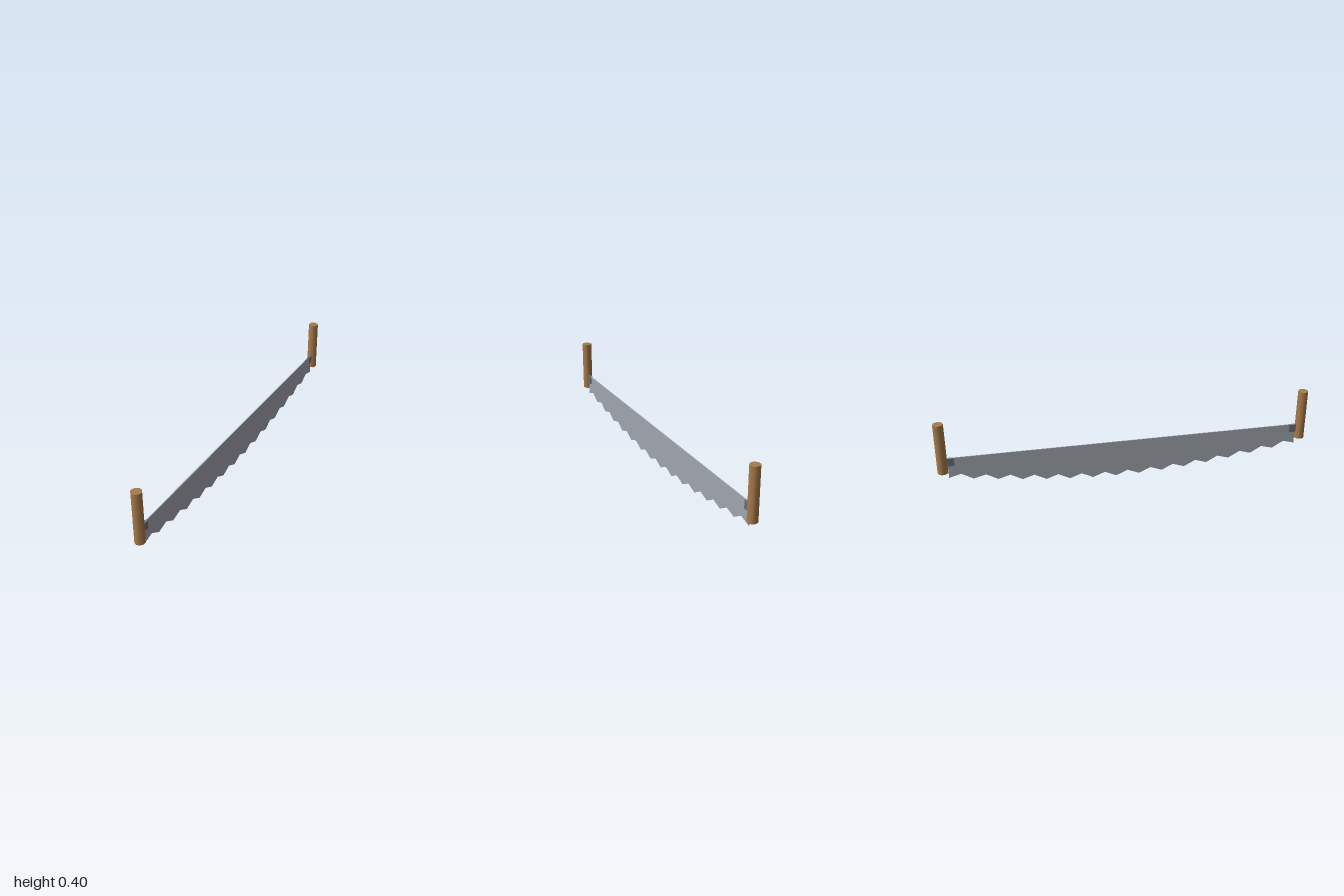
import * as THREE from 'three';

const material = (name, color) => {
  const m = new THREE.MeshStandardMaterial({ color });
  m.name = name;
  return m;
};

export function createModel() {
  const saw = new THREE.Group();
  saw.name = 'twoManSaw';
  const wood = material('wood', 0xa87b4a);
  const steel = material('steel', 0xa0a5ae);
  const darkSteel = material('darkSteel', 0x686d78);

  const add = (name, geometry, mat, x = 0, y = 0, z = 0) => {
    const mesh = new THREE.Mesh(geometry, mat);
    mesh.name = name;
    mesh.position.set(x, y, z);
    saw.add(mesh);
  };

  // Blade: straight back, bowed lower edge with alternating tips and valleys
  const half = 0.945, top = 0.205, steps = 15, thickness = 0.005;
  const outline = new THREE.Shape();
  outline.moveTo(-half, top);
  for (let i = -steps; i <= steps; i++) {
    const t = i / steps;
    const bow = 0.09 * (1 - Math.cos(t * Math.PI / 2));
    outline.lineTo(t * half, bow + (i % 2 === 0 ? 0.027 : 0));
  }
  outline.lineTo(half, top);
  outline.closePath();
  const blade = new THREE.ExtrudeGeometry(outline, { depth: thickness, bevelEnabled: false });
  blade.translate(0, 0, -thickness / 2);
  blade.rotateY(-Math.PI / 2);
  add('blade', blade, steel);

  // Upright handle and its bracket at each end
  for (const [end, s] of [['front', 1], ['back', -1]]) {
    add(end + 'Handle', new THREE.CylinderGeometry(0.027, 0.027, 0.279, 10), wood, 0, 0.2625, s * 0.973);
    add(end + 'Bracket', new THREE.BoxGeometry(0.014, 0.043, 0.05), darkSteel, 0, 0.182, s * 0.936);
  }
  return saw;
}
